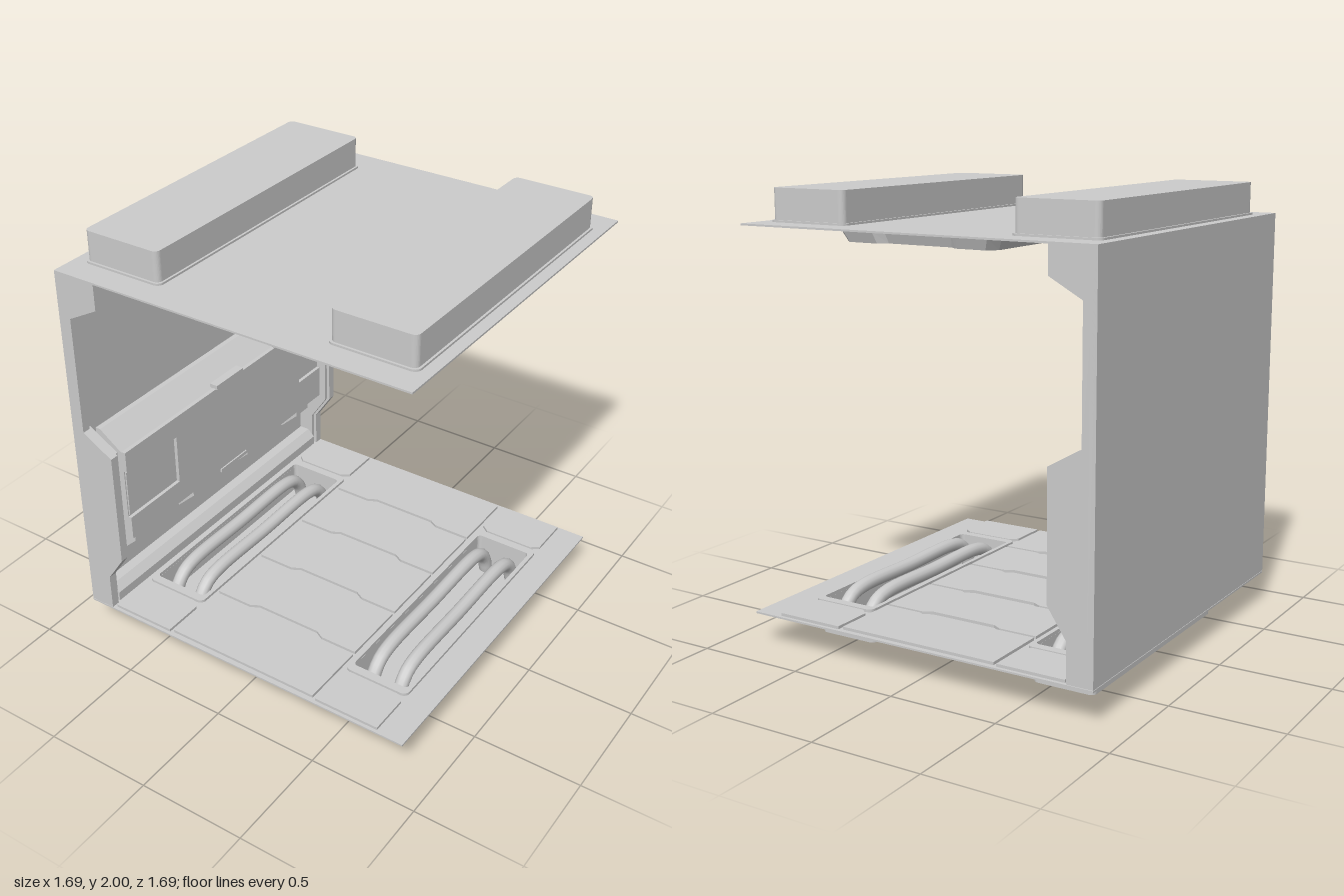
import * as THREE from 'three';

const grey = new THREE.MeshStandardMaterial({ color: 0xcccccc, side: THREE.DoubleSide });
const black = new THREE.MeshStandardMaterial({ color: 0x050505, side: THREE.DoubleSide });

function add(parent, name, geometry, material = grey) {
  const mesh = new THREE.Mesh(geometry, material);
  mesh.name = name;
  parent.add(mesh);
  return mesh;
}

function box(parent, name, x0, x1, y0, y1, z0, z1) {
  const mesh = add(parent, name, new THREE.BoxGeometry(x1 - x0, y1 - y0, z1 - z0));
  mesh.position.set((x0 + x1) / 2, (y0 + y1) / 2, (z0 + z1) / 2);
  return mesh;
}

// Rounded rectangle outline, w by d, centred on (cx, cz)
function roundRect(w, d, r, cx = 0, cz = 0, Kind = THREE.Shape) {
  const s = new Kind(), a = w / 2 - r, b = d / 2 - r;
  s.absarc(cx + a, cz + b, r, 0, Math.PI / 2);
  s.absarc(cx - a, cz + b, r, Math.PI / 2, Math.PI);
  s.absarc(cx - a, cz - b, r, Math.PI, Math.PI * 1.5);
  s.absarc(cx + a, cz - b, r, Math.PI * 1.5, Math.PI * 2);
  s.closePath();
  return s;
}

const polygon = (pts) => new THREE.Shape(pts.map(([x, y]) => new THREE.Vector2(x, y)));

// Plan outline raised from y0 to y1; outline y runs along -z
function slab(shape, y0, y1) {
  const g = new THREE.ExtrudeGeometry(shape, { depth: y1 - y0, bevelEnabled: false, curveSegments: 4 });
  return g.rotateX(-Math.PI / 2).translate(0, y0, 0);
}

// Side profile in x, y swept from z0 to z1
function sweep(pts, z0, z1) {
  const g = new THREE.ExtrudeGeometry(polygon(pts), { depth: z1 - z0, bevelEnabled: false });
  return g.translate(0, 0, z0);
}

// Hollow tray: rounded side walls and one closed end
function tray(parent, name, w, d, cx, yOpen, yClosed) {
  const g = new THREE.Group();
  g.name = name;
  const t = 0.008;
  const ring = roundRect(w, d, 0.025, cx);
  ring.holes.push(roundRect(w - 2 * t, d - 2 * t, 0.018, cx, 0, THREE.Path));
  add(g, 'trayWalls', slab(ring, Math.min(yOpen, yClosed), Math.max(yOpen, yClosed)));
  const inner = yClosed + (yOpen > yClosed ? t : -t);
  add(g, 'trayEnd', slab(roundRect(w, d, 0.025, cx), Math.min(yClosed, inner), Math.max(yClosed, inner)));
  parent.add(g);
}

// Flat square deck with two long openings
function deck(openW, openD, cx, y0, y1) {
  const s = polygon([[-0.845, -0.845], [0.845, -0.845], [0.845, 0.845], [-0.845, 0.845]]);
  for (const side of [-1, 1]) s.holes.push(roundRect(openW, openD, 0.02, side * cx, 0, THREE.Path));
  return slab(s, y0, y1);
}

function buildCeiling() {
  const g = new THREE.Group();
  g.name = 'ceiling';
  add(g, 'ceilingSheet', deck(0.365, 1.42, 0.595, 1.848, 1.856));
  for (const side of [-1, 1]) {
    tray(g, 'roofDuct', 0.375, 1.43, side * 0.595, 1.85, 2.0);
    const flange = roundRect(0.395, 1.45, 0.03, side * 0.595);
    flange.holes.push(roundRect(0.365, 1.42, 0.02, side * 0.595, 0, THREE.Path));
    add(g, 'ductFlange', slab(flange, 1.85, 1.865));
  }
  // Hanging centre panel with notched ends and two square light wells
  const half = [[0.385, 0.76], [0.345, 0.8], [0.2, 0.8], [0.16, 0.77], [-0.16, 0.77], [-0.2, 0.8], [-0.345, 0.8], [-0.385, 0.76]];
  const shape = polygon([...half, ...half.map(([x, z]) => [-x, -z])]);
  for (const z of [-0.32, 0.32]) shape.holes.push(roundRect(0.29, 0.29, 0.03, 0, z, THREE.Path));
  let panel = slab(shape, 1.8, 1.85);
  const p = panel.attributes.position;
  for (let i = 0; i < p.count; i++) {
    if (p.getY(i) > 1.82) continue;
    const wide = Math.abs(p.getX(i)) > 0.3 || Math.abs(p.getZ(i)) > 0.7;
    if (wide) p.setXYZ(i, p.getX(i) * 0.94, p.getY(i), p.getZ(i) * 0.975);
  }
  panel = panel.toNonIndexed ? (panel.index ? panel.toNonIndexed() : panel) : panel;
  panel.computeVertexNormals();
  add(g, 'ceilingPanel', panel);
  for (const z of [-0.32, 0.32]) add(g, 'lightWell', slab(roundRect(0.29, 0.29, 0.03, 0, z), 1.835, 1.84), black);
  return g;
}

function buildFloor() {
  const g = new THREE.Group();
  g.name = 'floor';
  add(g, 'floorSheet', deck(0.28, 1.13, 0.555, 0.145, 0.153));

  // Centre floor plates, separated by seams that jog in the middle
  const seams = [-0.83, -0.5, -0.17, 0.17, 0.5, 0.83];
  const edge = (z, gap, jog) => [[-0.38, z + gap], [-0.2, z + gap], [-0.16, z + gap + jog], [0.16, z + gap + jog], [0.2, z + gap], [0.38, z + gap]];
  for (let i = 0; i < 5; i++) {
    const low = edge(seams[i], 0.008, i === 0 ? 0 : 0.022);
    const high = edge(seams[i + 1], -0.008, i === 4 ? 0 : -0.022).reverse();
    add(g, 'floorPlate', slab(polygon([...low, ...high]), 0.15, 0.166));
  }

  for (const side of [-1, 1]) {
    const cx = side * 0.555;
    tray(g, 'floorTrough', 0.29, 1.14, cx, 0.15, 0);
    const rim = roundRect(0.315, 1.2, 0.03, cx);
    rim.holes.push(roundRect(0.275, 1.12, 0.02, cx, 0, THREE.Path));
    add(g, 'troughRim', slab(rim, 0.145, 0.166));
    for (const end of [-1, 1]) {
      const plate = polygon([[cx - 0.157, end * 0.83], [cx + 0.157, end * 0.83], [cx + 0.157, end * 0.64],
        [cx + 0.12, end * 0.61], [cx - 0.12, end * 0.61], [cx - 0.157, end * 0.64]]);
      add(g, 'troughEndPlate', slab(plate, 0.15, 0.166));
    }
    // Paired pipes that bend down into the trough
    for (const dx of [-0.07, 0.07]) {
      const path = [[0.02, -0.52], [0.09, -0.5], [0.145, -0.45], [0.168, -0.37], [0.168, 0], [0.168, 0.37], [0.145, 0.45], [0.09, 0.5], [0.02, 0.52]];
      const curve = new THREE.CatmullRomCurve3(path.map(([y, z]) => new THREE.Vector3(cx + dx, y, z)));
      add(g, 'pipe', new THREE.TubeGeometry(curve, 40, 0.032, 12));
    }
  }
  return g;
}

function buildWall() {
  const g = new THREE.Group();
  g.name = 'wall';
  box(g, 'wallSheet', -0.845, -0.815, 0.155, 1.855, -0.845, 0.845);

  // End ribs with a stepped silhouette
  const rib = (d) => [[-0.84, 0.155], [-0.725 - d, 0.155], [-0.725 - d, 0.33], [-0.638 - d, 0.46], [-0.638 - d, 1.01],
    [-0.785 - d, 1.095], [-0.785 - d, 1.65], [-0.638 - d, 1.73], [-0.638 - d, 1.855], [-0.84, 1.855]];
  for (const side of [-1, 1]) {
    const span = (a, b) => (side > 0 ? [a, b] : [-b, -a]);
    add(g, 'endRib', sweep(rib(0), ...span(0.805, 0.845)));
    add(g, 'ribInnerStep', sweep(rib(0.015), ...span(0.788, 0.805)));
  }

  // Top beam and foot ledge
  add(g, 'topBeam', sweep([[-0.82, 1.77], [-0.66, 1.805], [-0.655, 1.852], [-0.82, 1.852]], -0.79, 0.79));
  box(g, 'beamStrip', -0.74, -0.70, 1.782, 1.80, -0.3, 0.3);
  add(g, 'footLedge', sweep([[-0.82, 0.155], [-0.73, 0.155], [-0.73, 0.2], [-0.765, 0.235], [-0.82, 0.235]], -0.79, 0.79));

  // Equipment housing: core plus a cover cut out around two recessed hatches
  add(g, 'housingCore', sweep([[-0.82, 0.45], [-0.79, 0.45], [-0.672, 0.52], [-0.672, 0.97], [-0.79, 1.055], [-0.82, 1.055]], -0.74, 0.74));
  const cover = polygon([[-0.74, 0.515], [0.74, 0.515], [0.74, 0.63], [0.4, 0.63], [0.4, 0.875], [0.74, 0.875], [0.74, 0.978],
    [-0.74, 0.978], [-0.74, 0.82], [-0.56, 0.82], [-0.56, 0.68], [-0.74, 0.68]]);
  const coverGeometry = new THREE.ExtrudeGeometry(cover, { depth: 0.02, bevelEnabled: false });
  coverGeometry.rotateY(-Math.PI / 2).translate(-0.655, 0, 0);
  add(g, 'housingCover', coverGeometry);
  box(g, 'largeHatch', -0.69, -0.665, 0.638, 0.867, 0.408, 0.735);
  box(g, 'smallHatch', -0.69, -0.665, 0.688, 0.812, -0.735, -0.568);
  box(g, 'upperLatch', -0.69, -0.648, 0.975, 0.997, -0.1, 0.1);
  box(g, 'lowerLatch', -0.69, -0.648, 0.51, 0.527, -0.1, 0.1);

  // Brackets under the housing
  for (const z of [-0.635, -0.212, 0.212, 0.635]) {
    add(g, 'bracket', sweep([[-0.82, 0.36], [-0.79, 0.36], [-0.695, 0.45], [-0.695, 0.495], [-0.82, 0.495]], z - 0.05, z + 0.05));
  }
  return g;
}

export function createModel() {
  const model = new THREE.Group();
  model.name = 'corridorSection';
  model.add(buildCeiling(), buildFloor(), buildWall());
  return model;
}
